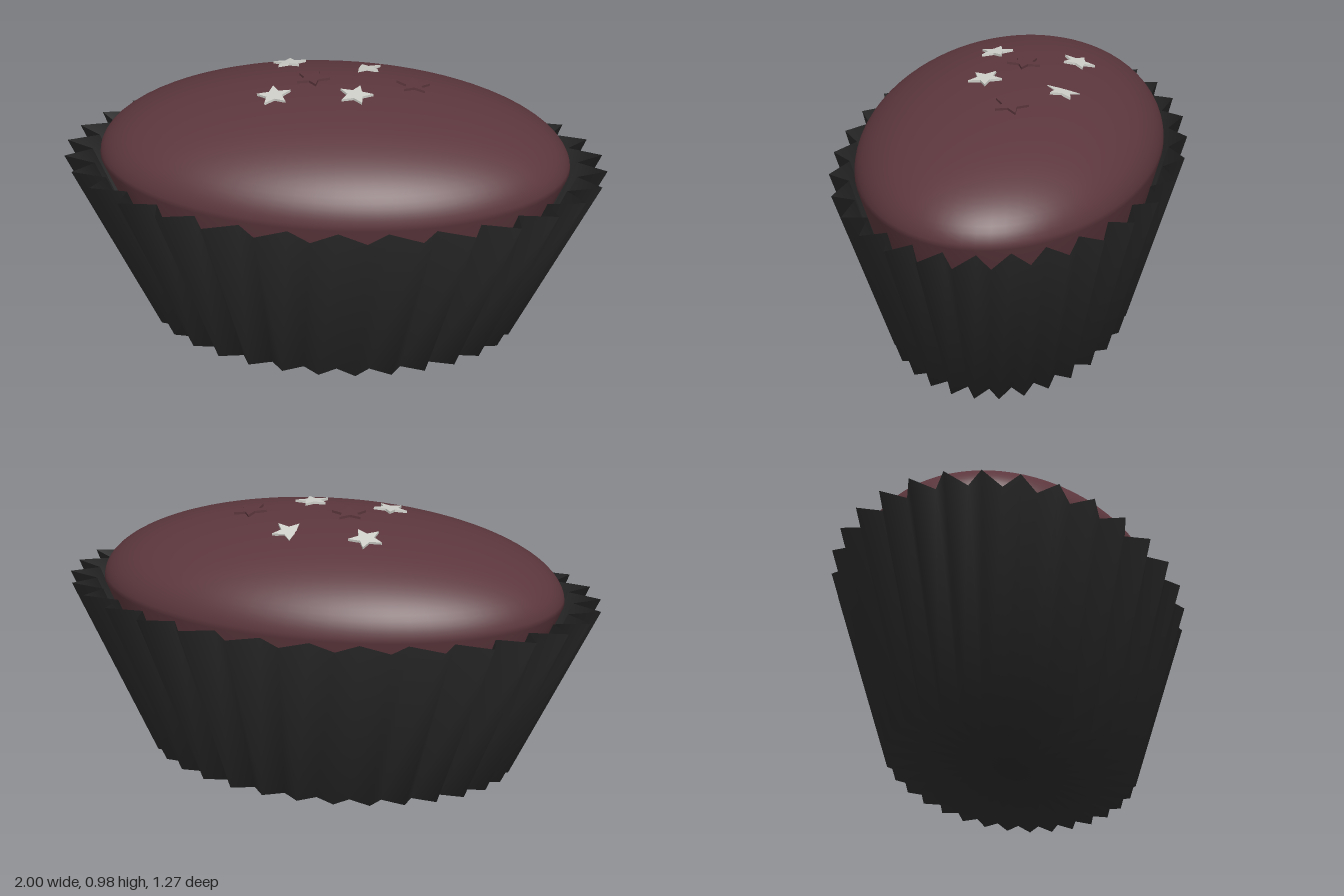
import * as THREE from 'three';

const cake = new THREE.MeshStandardMaterial({ color: 0x5c373d });
cake.name = 'chocolate cake';
const paper = new THREE.MeshStandardMaterial({ color: 0x2b2b2b, side: THREE.DoubleSide });
paper.name = 'black paper';
const silver = new THREE.MeshStandardMaterial({ color: 0xcfcfca });
silver.name = 'silver sprinkle';

const DEPTH = 0.637; // z squash of the oval footprint
const RIM_Y = 0.675, DOME_R = 0.865, DOME_H = 0.285;

// Pleated oval cup: zigzag rings joined by a wall, closed by a floor
function paperCup() {
  const n = 64, pos = [], index = [];
  for (const [r, y] of [[0.69, 0], [1, RIM_Y]]) {
    for (let i = 0; i < n; i++) {
      const a = (i / n) * Math.PI * 2;
      const rr = r * (i % 2 ? 0.895 : 1);
      pos.push(Math.sin(a) * rr, y, Math.cos(a) * rr * DEPTH);
    }
  }
  pos.push(0, 0, 0);
  for (let i = 0; i < n; i++) {
    const j = (i + 1) % n;
    index.push(i, j, n + j, i, n + j, n + i, 2 * n, j, i);
  }
  const geo = new THREE.BufferGeometry();
  geo.setAttribute('position', new THREE.Float32BufferAttribute(pos, 3));
  geo.setIndex(index);
  geo.computeVertexNormals();
  const mesh = new THREE.Mesh(geo, paper);
  mesh.name = 'paperCup';
  return mesh;
}

// Oval cake: tapered body inside the cup, domed above the rim
function cakeBody() {
  const pts = [new THREE.Vector2(0, 0.02), new THREE.Vector2(0.57, 0.02), new THREE.Vector2(0.8, 0.52)];
  for (let i = 0; i <= 24; i++) {
    const a = (i / 24) * Math.PI / 2;
    pts.push(new THREE.Vector2(Math.cos(a) * DOME_R, RIM_Y + Math.sin(a) * DOME_H));
  }
  const geo = new THREE.LatheGeometry(pts, 72);
  geo.scale(1, 1, DEPTH);
  const mesh = new THREE.Mesh(geo, cake);
  mesh.name = 'cakeDome';
  return mesh;
}

// Thin five-pointed star lying in the xz plane
function starGeometry() {
  const shape = new THREE.Shape();
  for (let i = 0; i < 10; i++) {
    const a = (i / 10) * Math.PI * 2 + Math.PI / 2;
    const r = i % 2 ? 0.029 : 0.064;
    shape[i ? 'lineTo' : 'moveTo'](Math.cos(a) * r, Math.sin(a) * r);
  }
  shape.closePath();
  const geo = new THREE.ExtrudeGeometry(shape, { depth: 0.009, bevelEnabled: false });
  geo.rotateX(-Math.PI / 2);
  return geo;
}

export function createModel() {
  const group = new THREE.Group();
  group.name = 'cupcake';
  group.add(paperCup(), cakeBody());

  // Sprinkles: x, z, turn, lift, extra tilt about z, material
  const geo = starGeometry();
  const stars = [
    [-0.19, -0.21, 0.1, 0.006, 0, silver],
    [0.095, -0.20, 0.3, -0.006, 0.14, silver],
    [-0.08, -0.03, -0.3, 0.006, 0, cake],
    [0.285, -0.05, 0.15, 0.006, 0, cake],
    [-0.20, 0.10, 0.2, 0.004, 0, silver],
    [0.09, 0.08, -0.15, 0.006, 0, silver],
  ];
  const up = new THREE.Vector3(0, 1, 0);
  stars.forEach(([x, z, turn, lift, tilt, mat], i) => {
    const a = x / DOME_R, b = z / (DOME_R * DEPTH);
    const h = Math.sqrt(1 - a * a - b * b);
    const normal = new THREE.Vector3(a / DOME_R, h / DOME_H, b / (DOME_R * DEPTH)).normalize();
    const star = new THREE.Mesh(geo, mat);
    star.name = 'starSprinkle' + (i + 1);
    star.position.set(x, RIM_Y + DOME_H * h + lift, z);
    star.quaternion.setFromUnitVectors(up, normal)
      .multiply(new THREE.Quaternion().setFromEuler(new THREE.Euler(0, turn, tilt, 'ZYX')));
    group.add(star);
  });
  return group;
}
